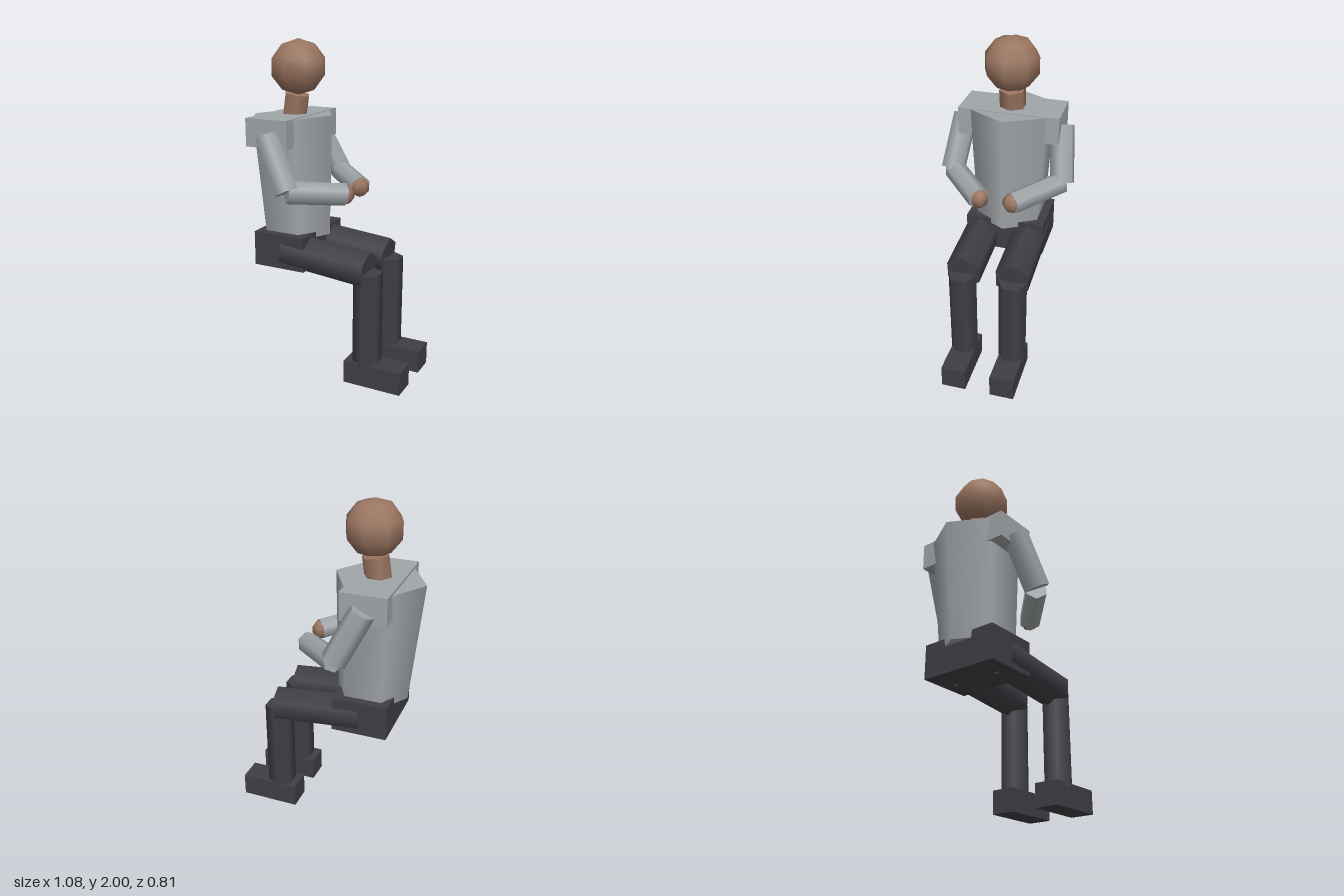
import * as THREE from 'three';

const mat = (name, color) => {
  const m = new THREE.MeshStandardMaterial({ color });
  m.name = name;
  return m;
};

export function createModel() {
  const model = new THREE.Group();
  model.name = 'seatedFigure';
  const skin = mat('skin', 0x9a7560);
  const shirt = mat('greyShirt', 0xa0a5a8);
  const trousers = mat('darkTrousers', 0x403e44);

  const add = (name, geometry, material, x = 0, y = 0, z = 0) => {
    const mesh = new THREE.Mesh(geometry, material);
    mesh.name = name;
    mesh.position.set(x, y, z);
    model.add(mesh);
    return mesh;
  };

  // Box given by its lower and upper limits
  const block = (name, material, x0, x1, y0, y1, z0, z1) =>
    add(name, new THREE.BoxGeometry(x1 - x0, y1 - y0, z1 - z0), material,
      (x0 + x1) / 2, (y0 + y1) / 2, (z0 + z1) / 2);

  // Six-sided limb from a to b; one corner of the hexagon points along ref
  const limb = (name, material, a, b, rA, rB, ref) => {
    const start = new THREE.Vector3(...a), end = new THREE.Vector3(...b);
    const dir = end.clone().sub(start);
    const length = dir.length();
    dir.normalize();
    const corner = new THREE.Vector3(...ref);
    corner.addScaledVector(dir, -corner.dot(dir)).normalize();
    const side = new THREE.Vector3().crossVectors(dir, corner);
    const mesh = add(name, new THREE.CylinderGeometry(rB, rA, length, 6), material);
    mesh.quaternion.setFromRotationMatrix(new THREE.Matrix4().makeBasis(side, dir, corner));
    mesh.position.copy(start.add(end).multiplyScalar(0.5));
    return mesh;
  };

  // Head and neck
  const head = add('head', new THREE.SphereGeometry(0.1625, 8, 5), skin, -0.235, 1.8375, 0);
  head.scale.set(1.05, 1, 1.05);
  limb('neck', skin, [-0.27, 1.52, 0], [-0.246, 1.68, 0], 0.08, 0.08, [1, 0, 0]);

  // Trunk
  limb('torso', shirt, [-0.25, 0.83, 0], [-0.28, 1.555, 0], 0.22, 0.265, [1, 0, 0]);
  block('shoulders', shirt, -0.415, -0.145, 1.4, 1.565, -0.305, 0.305);
  block('pelvis', trousers, -0.415, -0.08, 0.66, 0.87, -0.245, 0.245);

  // Arms and legs, mirrored across z
  for (const s of [1, -1]) {
    const side = s > 0 ? 'Near' : 'Far';
    limb('upperArm' + side, shirt, [-0.278, 1.47, s * 0.3], [-0.128, 1.167, s * 0.34],
      0.075, 0.075, [1, 0, 0]);
    limb('forearm' + side, shirt, [-0.13, 1.165, s * 0.335], [0.125, 1.13, s * 0.1],
      0.067, 0.067, [0, 1, 0]);
    const hand = add('hand' + side, new THREE.SphereGeometry(0.059, 6, 5), skin, 0.12, 1.13, s * 0.1);
    hand.rotation.y = Math.PI / 2;

    limb('thigh' + side, trousers, [-0.245, 0.757, s * 0.15], [0.298, 0.707, s * 0.15],
      0.112, 0.112, [0, 1, 0]);
    limb('shin' + side, trousers, [0.3, 0.11, s * 0.155], [0.3, 0.7, s * 0.155],
      0.087, 0.087, [0, 0, 1]);
    const foot = block('foot' + side, trousers, 0.18, 0.54, 0, 0.14, 0.078, 0.228);
    foot.position.z *= s;
  }
  return model;
}
